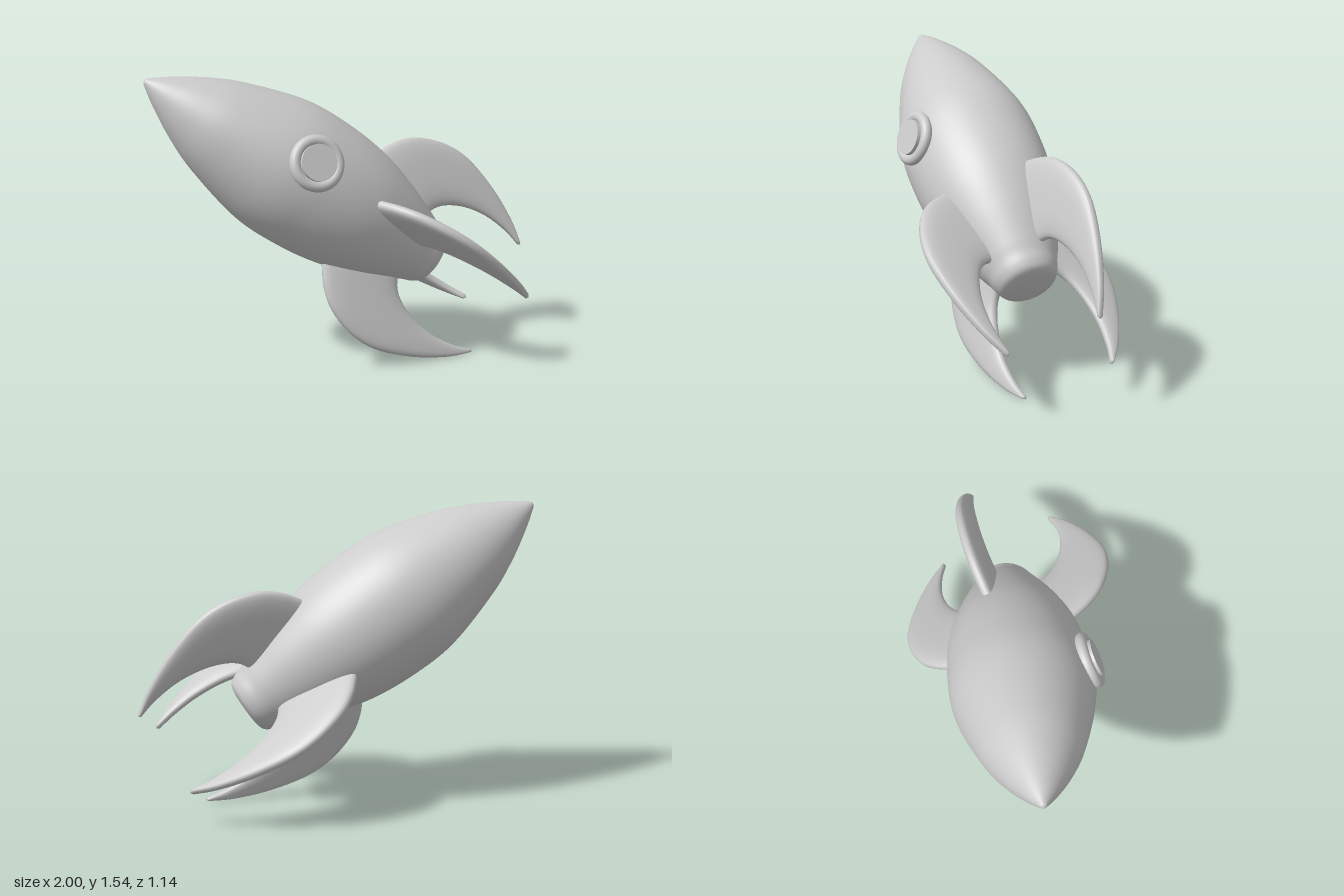
import * as THREE from 'three';

const material = new THREE.MeshStandardMaterial({ color: 0xcccccc });
const points = list => list.map(([x, y]) => new THREE.Vector2(x, y));

function addMesh(parent, geometry, name) {
  const mesh = new THREE.Mesh(geometry, material);
  mesh.name = name;
  parent.add(mesh);
  return mesh;
}

// Hull profile: [radius, height], nose tip at height 0
function hullGeometry() {
  const profile = new THREE.SplineCurve(points([
    [0, -1.805], [0.08, -1.803], [0.135, -1.79], [0.163, -1.755], [0.182, -1.7],
    [0.212, -1.63], [0.28, -1.45], [0.337, -1.24], [0.36, -1.0], [0.347, -0.75],
    [0.258, -0.44], [0.178, -0.26], [0.09, -0.11], [0.027, -0.02], [0.012, -0.003], [0, 0],
  ]));
  const pts = profile.getPoints(90);
  pts.forEach(p => { p.x = Math.max(0, p.x); });
  return new THREE.LatheGeometry(pts, 72);
}

// Swept fin: rounded cross-sections between an outer and an inner edge curve
function finGeometry() {
  const outer = new THREE.SplineCurve(points([
    [0.23, -1.2], [0.333, -1.255], [0.442, -1.328], [0.524, -1.427], [0.578, -1.581],
    [0.579, -1.743], [0.516, -1.945], [0.424, -2.125], [0.338, -2.24],
  ]));
  const inner = new THREE.SplineCurve(points([
    [0.08, -1.66], [0.2, -1.673], [0.278, -1.73], [0.336, -1.847],
    [0.361, -1.99], [0.35, -2.13], [0.322, -2.235],
  ]));
  const rows = 44, sides = 28, pos = [], index = [];
  const soft = v => Math.sign(v) * Math.pow(Math.abs(v), 0.75);
  for (let i = 0; i <= rows; i++) {
    const u = i / rows;
    const o = outer.getPointAt(u), n = inner.getPointAt(u);
    const half = 0.014 + 0.03 * (1 - u * u);
    for (let j = 0; j < sides; j++) {
      const a = (j / sides) * Math.PI * 2;
      const k = (1 + soft(Math.cos(a))) / 2;
      pos.push(n.x + (o.x - n.x) * k, n.y + (o.y - n.y) * k, half * soft(Math.sin(a)));
    }
  }
  for (let i = 0; i < rows; i++) {
    for (let j = 0; j < sides; j++) {
      const a = i * sides + j, b = i * sides + (j + 1) % sides;
      index.push(a, b, a + sides, b, b + sides, a + sides);
    }
  }
  // Rounded tip
  const tip = pos.length / 3, last = rows * sides;
  pos.push(0.326, -2.25, 0);
  for (let j = 0; j < sides; j++) index.push(last + j, last + (j + 1) % sides, tip);

  const geometry = new THREE.BufferGeometry();
  geometry.setAttribute('position', new THREE.Float32BufferAttribute(pos, 3));
  geometry.setIndex(index);
  geometry.computeVertexNormals();
  return geometry;
}

export function createModel() {
  const model = new THREE.Group();
  model.name = 'rocket';

  // Upright rocket, later tilted into its flying pose
  const rocket = new THREE.Group();
  rocket.name = 'tiltedRocket';
  model.add(rocket);

  addMesh(rocket, hullGeometry(), 'hull');

  // Four fins around the tail
  const fin = finGeometry();
  for (let k = 0; k < 4; k++) addMesh(rocket, fin, 'fin').rotation.y = k * Math.PI / 2;

  // Round porthole facing local +z
  const porthole = new THREE.Group();
  porthole.name = 'porthole';
  porthole.position.set(0, -0.865, 0.36);
  porthole.rotation.x = -0.06;
  rocket.add(porthole);
  addMesh(porthole, new THREE.TorusGeometry(0.113, 0.029, 20, 64), 'portholeRim');
  const pane = addMesh(porthole, new THREE.CylinderGeometry(0.092, 0.092, 0.07, 64), 'portholePane');
  pane.rotation.x = Math.PI / 2;
  pane.position.z = 0.005;

  // Flying pose: nose up to the model's right, leaning back
  const up = new THREE.Vector3(-0.802, 0.563, -0.198).normalize();
  const side = new THREE.Vector3(0.6, 0.775, -0.2);
  side.addScaledVector(up, -side.dot(up)).normalize();
  const front = new THREE.Vector3().crossVectors(side, up);
  rocket.quaternion.setFromRotationMatrix(new THREE.Matrix4().makeBasis(side, up, front));
  rocket.position.set(-1, 1.54, -0.33);
  return model;
}
